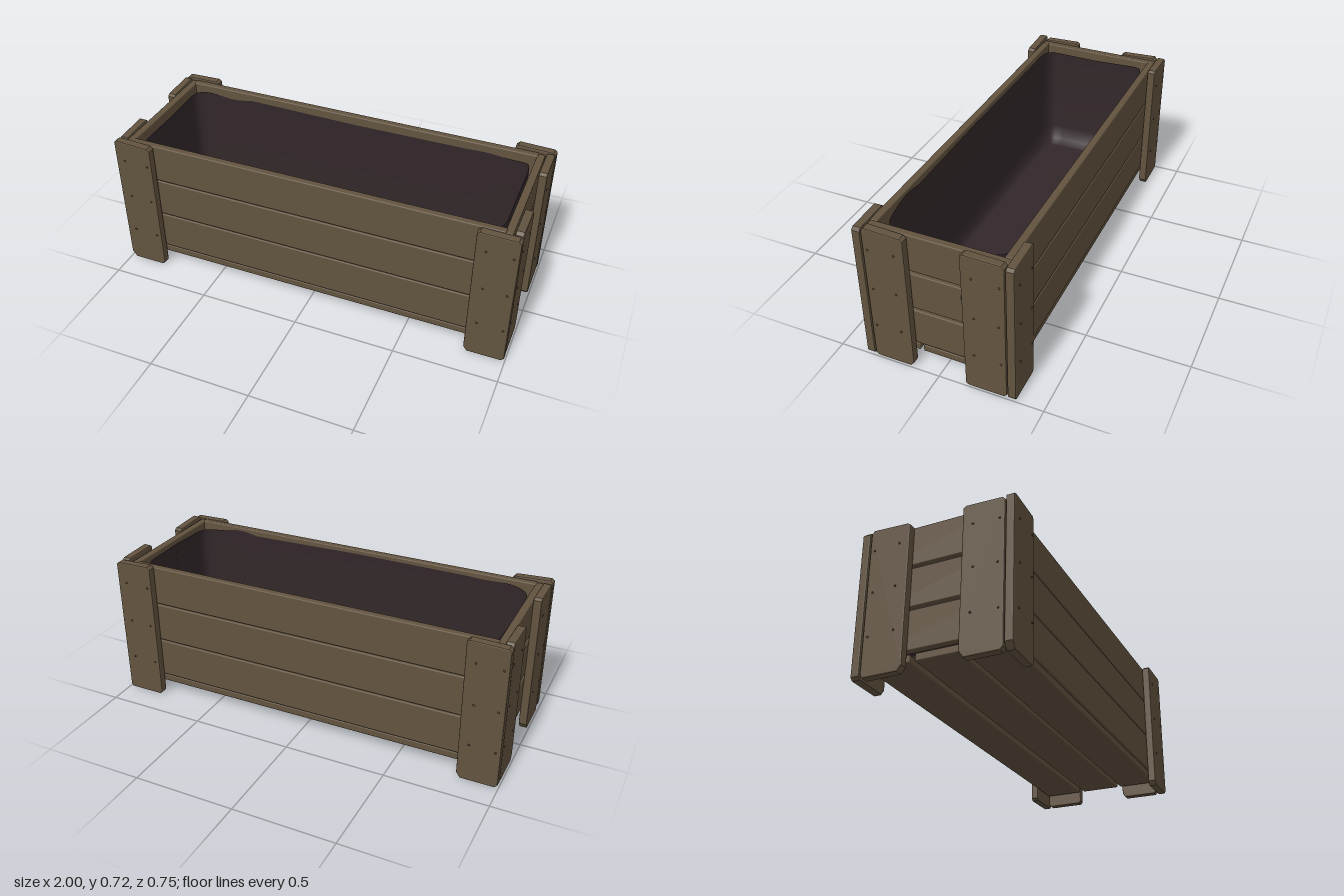
import * as THREE from 'three';
import { RoundedBoxGeometry } from 'three/addons/geometries/RoundedBoxGeometry.js';

const wood = new THREE.MeshStandardMaterial({ color: 0x62533f });
wood.name = 'weathered wood';
const cloth = new THREE.MeshStandardMaterial({ color: 0x32272a, side: THREE.DoubleSide });
cloth.name = 'dark liner';
const iron = new THREE.MeshStandardMaterial({ color: 0x4c4135 });
iron.name = 'dull iron';

function add(parent, name, geometry, material, x = 0, y = 0, z = 0) {
  const mesh = new THREE.Mesh(geometry, material);
  mesh.name = name;
  mesh.position.set(x, y, z);
  parent.add(mesh);
  return mesh;
}

// Softly worn board given by its size and centre
function board(parent, name, w, h, d, x, y, z) {
  return add(parent, name, new RoundedBoxGeometry(w, h, d, 2, 0.006), wood, x, y, z);
}

// Upright corner board facing +z, with worn corners; u is the edge nearest the corner
function cornerBoard(parent, name, u0, u1, topA, topB, worn) {
  const g = new THREE.Group();
  g.name = name;
  const b = 0.006, t = 0.04;
  const s = new THREE.Shape();
  s.moveTo(u0 + b + 0.01, b);
  s.lineTo(u1 - b - worn, b);
  s.lineTo(u1 - b, b + worn * 1.4);
  s.lineTo(u1 - b, topB - b - 0.008);
  s.lineTo(u1 - b - 0.01, topB - b);
  s.lineTo(u0 + b + 0.01, topA - b);
  s.lineTo(u0 + b, topA - b - 0.01);
  s.lineTo(u0 + b, b + 0.01);
  s.closePath();
  const geo = new THREE.ExtrudeGeometry(s, {
    depth: t - 2 * b, bevelEnabled: true, bevelSize: b, bevelThickness: b, bevelSegments: 2,
  });
  add(g, 'plank', geo, wood, 0, 0, b);
  // Two columns of three nails
  const nail = new THREE.SphereGeometry(0.005, 8, 6);
  for (const [i, y] of [0.19, 0.4, 0.61].entries()) {
    for (const [j, f] of [0.12, 0.72].entries()) {
      const u = u0 + (u1 - u0) * (f + 0.03 * ((i + j) % 2));
      add(g, 'nail', nail, iron, u, y + 0.006 * (j - 0.5), t);
    }
  }
  parent.add(g);
  return g;
}

// Cloth bag: rings of a rounded rectangle from the wavy rim to the padded floor
function linerGeometry() {
  const N = 96;
  const rings = [
    [0.90, 0.288, 0.675, 0.012], [0.903, 0.289, 0.6, 0], [0.898, 0.287, 0.4, 0],
    [0.89, 0.285, 0.2, 0], [0.87, 0.275, 0.125, 0], [0.82, 0.25, 0.102, 0],
    [0.6, 0.17, 0.108, 0], [0.3, 0.08, 0.112, 0], [0, 0, 0.113, 0],
  ];
  const pos = [], idx = [];
  rings.forEach(([a, c, y, wave], r) => {
    for (let i = 0; i <= N; i++) {
      const t = (i / N) * Math.PI * 2;
      const p = 0.16;
      const x = a * Math.sign(Math.cos(t)) * Math.abs(Math.cos(t)) ** p;
      const z = c * Math.sign(Math.sin(t)) * Math.abs(Math.sin(t)) ** p;
      pos.push(x - 0.004, y + wave * (Math.sin(x * 9 + z * 5) + 0.5 * Math.sin(x * 21)), z);
      if (r < rings.length - 1 && i < N) {
        const k = r * (N + 1) + i, n = k + N + 1;
        idx.push(k, k + 1, n, k + 1, n + 1, n);
      }
    }
  });
  const g = new THREE.BufferGeometry();
  g.setAttribute('position', new THREE.Float32BufferAttribute(pos, 3));
  g.setIndex(idx);
  g.computeVertexNormals();
  return g;
}

export function createModel() {
  const model = new THREE.Group();
  model.name = 'planterBox';

  // Long walls and end walls, three boards each
  for (let i = 0; i < 3; i++) {
    const y = 0.2 + i * 0.204;
    for (const s of [-1, 1]) {
      board(model, s > 0 ? 'frontBoard' : 'backBoard', 1.84, 0.198, 0.035, -0.004, y, s * 0.309);
      board(model, s > 0 ? 'leftEndBoard' : 'rightEndBoard', 0.036, 0.19, 0.65, s * 0.932 - 0.004, y, 0);
    }
  }

  // Bottom slats
  for (const [z, d] of [[0.222, 0.2], [0.003, 0.205], [-0.222, 0.195]]) {
    board(model, 'bottomSlat', 1.88, 0.037, d, 0, 0.077, z);
  }

  // Corner boards: one on the long face and one on the end face of each corner
  const corners = [
    // side x, side z, face tops, end tops, wear
    [1, 1, 0.705, 0.708, 0.717, 0.71, 0.014],
    [-1, 1, 0.72, 0.712, 0.71, 0.715, 0.02],
    [1, -1, 0.717, 0.722, 0.72, 0.724, 0.006],
    [-1, -1, 0.712, 0.716, 0.715, 0.708, 0.016],
  ];
  for (const [sx, sz, fa, fb, ea, eb, worn] of corners) {
    // Mirrored spans keep the worn edge pointing inward
    const flip = sx * sz > 0;
    const face = flip
      ? cornerBoard(model, 'longFaceCornerBoard', -0.995, -0.8, fa, fb, worn)
      : cornerBoard(model, 'longFaceCornerBoard', 0.8, 0.995, fb, fa, worn);
    // Turning by half a circle swaps left and right for the back
    if (flip) { face.scale.x = -1; }
    else { face.scale.x = -1; }
    face.rotation.y = sz > 0 ? 0 : Math.PI;
    face.position.z = sz * 0.329;

    const end = cornerBoard(model, 'endCornerBoard', -0.325, -0.128, ea, eb, worn);
    end.rotation.y = sx * Math.PI / 2;
    end.position.x = sx * 0.953;
    // An end board facing +x has its local x along -z
    if (sx * sz < 0) end.scale.x = -1;
  }

  // Cloth lining and the spot where it shows through one end
  add(model, 'liner', linerGeometry(), cloth);
  add(model, 'linerUnderside', new THREE.BoxGeometry(1.8, 0.012, 0.57), cloth, 0, 0.1, 0);
  const patch = add(model, 'linerPatch', new THREE.SphereGeometry(1, 16, 10), cloth, 0.944, 0.45, -0.125);
  patch.scale.set(0.004, 0.045, 0.03);

  return model;
}
